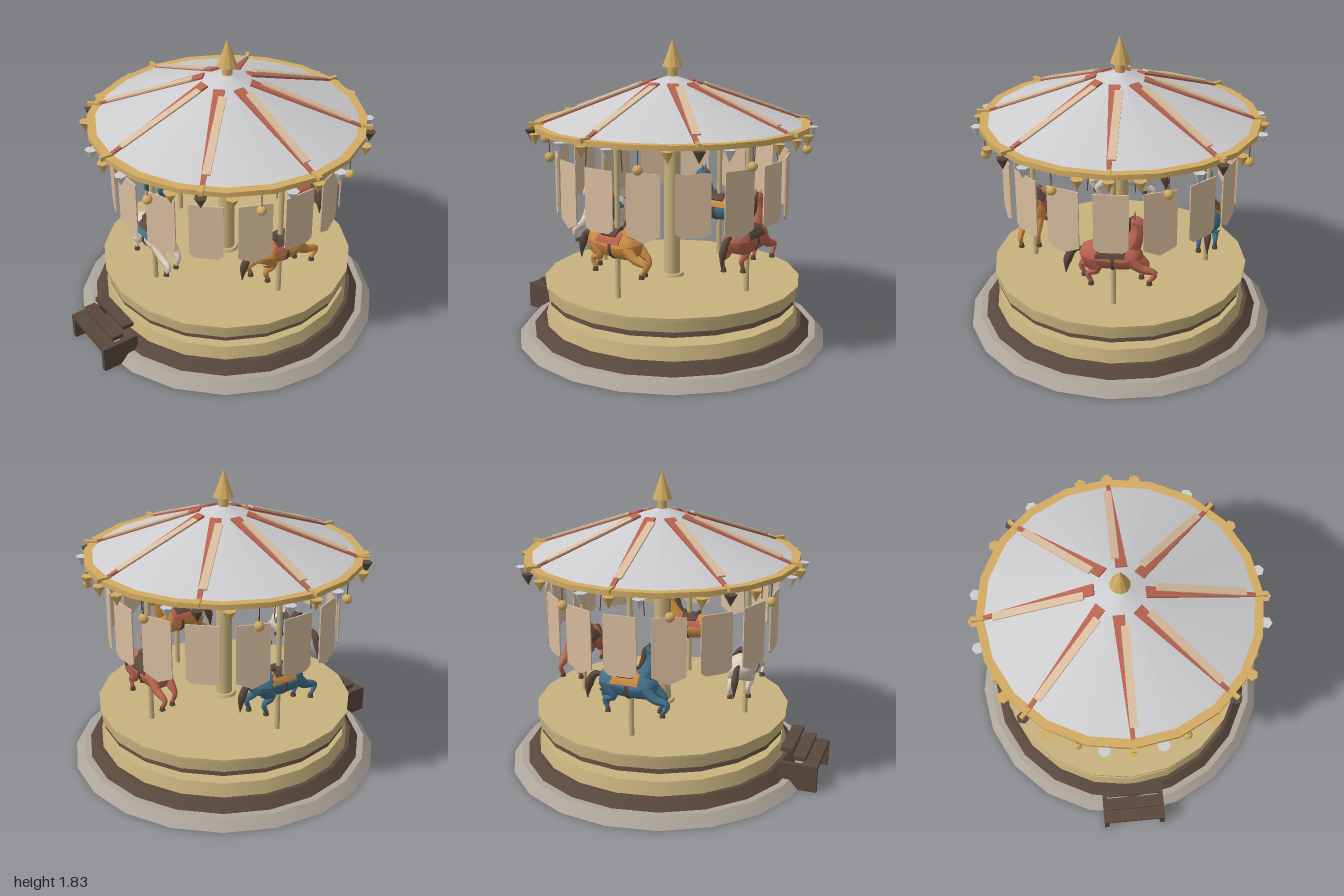
import * as THREE from 'three';

const mat = (name, color) => {
  const m = new THREE.MeshStandardMaterial({ color });
  m.name = name;
  return m;
};
const M = {
  stone: mat('stone', 0xada59a),
  wood: mat('dark wood', 0x5a483d),
  cream: mat('cream paint', 0xc8b27e),
  gold: mat('gold', 0xd2ab62),
  roof: mat('pale grey', 0xcdcdcf),
  cloth: mat('peach cloth', 0xd8bc9e),
  white: mat('ivory', 0xdccebe),
  orange: mat('orange', 0xcb8b42),
  blue: mat('blue', 0x42708a),
  red: mat('brick red', 0xb86450),
};
const SIDES = 20;
const TAU = Math.PI * 2;

function add(parent, name, geo, material, x = 0, y = 0, z = 0) {
  const m = new THREE.Mesh(geo, material);
  m.name = name;
  m.position.set(x, y, z);
  parent.add(m);
  return m;
}
const box = (p, name, m, w, h, d, x, y, z) => add(p, name, new THREE.BoxGeometry(w, h, d), m, x, y, z);
// Drum between two heights, with bottom and top radius
const drum = (p, name, m, y0, y1, r0, r1 = r0, sides = SIDES, x = 0, z = 0) =>
  add(p, name, new THREE.CylinderGeometry(r1, r0, y1 - y0, sides), m, x, (y0 + y1) / 2, z);
const flat = (geo) => {
  const g = geo.toNonIndexed();
  g.computeVertexNormals();
  return g;
};
// Group whose +z points outward at the given angle
function spoke(parent, name, angle) {
  const g = new THREE.Group();
  g.name = name;
  g.rotation.y = angle;
  parent.add(g);
  return g;
}
function plate(points, depth) {
  const shape = new THREE.Shape(points.map(([x, y]) => new THREE.Vector2(x, y)));
  return new THREE.ExtrudeGeometry(shape, { depth, bevelEnabled: false });
}
// Tapered tube: each point is [x, y, z, radius]; widthScale squeezes it across z
function taper(points, widthScale = 1, rows = 14, sides = 10) {
  const curve = new THREE.CatmullRomCurve3(points.map((p) => new THREE.Vector3(p[0], p[1], p[2])));
  const geo = new THREE.TubeGeometry(curve, rows, 1, sides);
  const pos = geo.attributes.position, v = new THREE.Vector3();
  for (let i = 0; i <= rows; i++) {
    const c = curve.getPointAt(i / rows);
    const t = curve.getUtoTmapping(i / rows) * (points.length - 1);
    const k = Math.min(Math.floor(t), points.length - 2);
    const r = THREE.MathUtils.lerp(points[k][3], points[k + 1][3], t - k);
    for (let j = 0; j <= sides; j++) {
      const n = i * (sides + 1) + j;
      v.fromBufferAttribute(pos, n).sub(c).multiplyScalar(r);
      pos.setXYZ(n, c.x + v.x, c.y + v.y, c.z + v.z * widthScale);
    }
  }
  geo.computeVertexNormals();
  return geo;
}

// Galloping horse facing +x
function horse(parent, coat, blanket) {
  const h = new THREE.Group();
  h.name = 'horse';
  h.position.z = 0.54;
  parent.add(h);
  add(h, 'body', taper([[-0.195, 0.71, 0, 0.003], [-0.18, 0.71, 0, 0.05], [-0.11, 0.705, 0, 0.084], [0, 0.69, 0, 0.076],
    [0.08, 0.695, 0, 0.082], [0.14, 0.71, 0, 0.062], [0.17, 0.715, 0, 0.003]], 1, 20, 14), coat);
  add(h, 'neck', taper([[0.07, 0.71, 0, 0.07], [0.115, 0.79, 0, 0.054], [0.135, 0.86, 0, 0.038], [0.125, 0.925, 0, 0.028]], 0.75), coat);
  add(h, 'head', taper([[0.1, 0.935, 0, 0.003], [0.115, 0.925, 0, 0.032], [0.145, 0.9, 0, 0.037], [0.172, 0.865, 0, 0.025],
    [0.19, 0.842, 0, 0.021], [0.196, 0.836, 0, 0.003]], 0.75), coat);
  add(h, 'mane', taper([[0.118, 0.95, 0, 0.006], [0.09, 0.91, 0, 0.018], [0.08, 0.85, 0, 0.02], [0.045, 0.79, 0, 0.008]], 0.6), M.wood);
  add(h, 'tail', taper([[-0.175, 0.735, 0, 0.01], [-0.225, 0.725, 0, 0.022], [-0.262, 0.66, 0, 0.027], [-0.275, 0.57, 0, 0.003]], 0.8), M.wood);
  // Blanket, saddle and girth wrap the back
  const wrap = (name, m, len, r, arc, x, y) => {
    const g = new THREE.CylinderGeometry(r, r, len, 14, 1, arc < TAU, Math.PI / 2 - arc / 2, arc);
    const mesh = add(h, name, g.rotateZ(Math.PI / 2).rotateX(0), m, x, y, 0);
    return mesh;
  };
  const arcPlate = (name, m, len, r, t, a, x, y) => {
    const s = new THREE.Shape();
    s.absarc(0, 0, r + t, Math.PI / 2 - a, Math.PI / 2 + a, false);
    s.absarc(0, 0, r, Math.PI / 2 + a, Math.PI / 2 - a, true);
    const g = new THREE.ExtrudeGeometry(s, { depth: len, bevelEnabled: false, curveSegments: 12 });
    add(h, name, g.translate(0, 0, -len / 2).rotateY(Math.PI / 2), m, x, y, 0);
  };
  arcPlate('blanket', blanket, 0.17, 0.074, 0.012, 1.35, -0.015, 0.695);
  arcPlate('saddle', M.wood, 0.1, 0.084, 0.012, 0.85, -0.015, 0.695);
  wrap('girth', M.wood, 0.018, 0.083, TAU, 0, 0.691);
  add(h, 'pommel', taper([[0.02, 0.78, 0, 0.014], [0.04, 0.8, 0, 0.01], [0.045, 0.81, 0, 0.002]], 2, 6, 8), M.wood);
  add(h, 'cantle', taper([[-0.05, 0.78, 0, 0.016], [-0.07, 0.8, 0, 0.012], [-0.08, 0.808, 0, 0.002]], 3, 6, 8), M.wood);
  for (const s of [-1, 1]) {
    const ear = add(h, 'ear', new THREE.ConeGeometry(0.011, 0.045, 6), coat, 0.122, 0.95, s * 0.016);
    ear.rotation.x = s * 0.15;
    // Near and far legs differ a little in stride
    const d = s * 0.025;
    const fore = [0.185 + d, 0.545 + s * 0.01];
    const hind = [-0.15 + d, 0.545];
    add(h, 'foreleg', taper([[0.1, 0.69, s * 0.045, 0.042], [0.16, 0.64, s * 0.05, 0.028], [0.215 + d, 0.61, s * 0.05, 0.018],
      [fore[0], fore[1], s * 0.05, 0.012]], 0.8), coat);
    add(h, 'hindLeg', taper([[-0.13, 0.69, s * 0.045, 0.055], [-0.115 + d, 0.63, s * 0.05, 0.03], [-0.165 + d, 0.6, s * 0.05, 0.018],
      [hind[0], hind[1], s * 0.05, 0.012]], 0.8), coat);
    for (const [x, y] of [fore, hind]) drum(h, 'hoof', M.wood, y - 0.02, y + 0.006, 0.018, 0.013, 8, x, s * 0.05);
  }
  drum(h, 'pole', M.cream, 0.36, 1.32, 0.016, 0.016, 10);
}

export function createModel() {
  const root = new THREE.Group();
  root.name = 'carousel';
  const ride = new THREE.Group();
  ride.name = 'ride';
  ride.position.z = -0.04;
  root.add(ride);

  // Stepped base and turning platform
  drum(ride, 'plinth', M.stone, 0, 0.06, 0.96, 0.905);
  drum(ride, 'lowerSkirt', M.wood, 0.06, 0.12, 0.865, 0.815);
  drum(ride, 'lowerTier', M.cream, 0.12, 0.2, 0.79, 0.77);
  drum(ride, 'turntableHub', M.cream, 0.2, 0.255, 0.2);
  drum(ride, 'platformSkirt', M.wood, 0.252, 0.288, 0.77, 0.755);
  drum(ride, 'platform', M.cream, 0.286, 0.355, 0.78, 0.785);
  drum(ride, 'platformLip', M.cream, 0.355, 0.37, 0.793);
  drum(ride, 'columnFoot', M.cream, 0.37, 0.388, 0.077, 0.07);
  drum(ride, 'column', M.cream, 0.37, 1.32, 0.052, 0.048, 14);

  // Canopy
  drum(ride, 'canopyRim', M.gold, 1.308, 1.338, 0.835);
  add(ride, 'canopy', new THREE.ConeGeometry(0.79, 0.285, SIDES), M.roof, 0, 1.4785, 0);
  drum(ride, 'finialNeck', M.gold, 1.61, 1.67, 0.03, 0.03, 10);
  add(ride, 'finial', flat(new THREE.ConeGeometry(0.06, 0.165, 10)), M.gold, 0, 1.748, 0);

  // Roof ribs: red wedge below a peach strip, gold bracket at the rim
  const wedge = plate([[-0.055, 0.15], [0.012, 0.15], [0.01, 0.84], [-0.014, 0.84]], 0.012).rotateX(Math.PI / 2);
  for (let i = 0; i < 8; i++) {
    const g = spoke(ride, 'roofRib', i * TAU / 8);
    const slope = new THREE.Group();
    slope.name = 'rib';
    slope.position.y = 1.62;
    slope.rotation.x = Math.atan(0.285 / 0.79);
    g.add(slope);
    add(slope, 'ribWedge', wedge, M.red, 0, 0.014, 0);
    box(slope, 'ribStrip', M.cloth, 0.046, 0.01, 0.56, 0.008, 0.02, 0.49);
    box(g, 'rimBracket', M.gold, 0.024, 0.025, 0.09, 0, 1.338, 0.815);
    // Bulb hanging between ribs
    const b = spoke(ride, 'bulb', (i + 0.5) * TAU / 8);
    drum(b, 'bulbCord', M.wood, 1.21, 1.31, 0.003, 0.003, 5, 0, 0.815);
    add(b, 'bulbGlobe', new THREE.SphereGeometry(0.028, 12, 8), M.gold, 0, 1.2, 0.815);
  }

  // Bunting around the rim
  const pennant = flat(new THREE.ConeGeometry(0.037, 0.068, 6).rotateX(Math.PI));
  const hang = (angle, m) => add(spoke(ride, 'bunting', angle), 'pennant', pennant, m, 0, 1.275, 0.845);
  const order = [M.roof, M.gold, M.gold, M.roof, M.roof, M.gold, M.roof, M.gold];
  for (let i = 0; i < 8; i++) {
    hang(i * TAU / 8, i % 2 ? M.wood : M.gold);
    for (const s of [-1, 1]) hang(s * (i + 0.5) * TAU / 16, order[i]);
  }

  // Hanging cloth panels, alternating cut-corner and pointed ends
  const blunt = plate([[-0.098, 1.158], [-0.098, 0.825], [-0.065, 0.8], [0.065, 0.8], [0.098, 0.825], [0.098, 1.158]], 0.008);
  const pointed = plate([[-0.098, 1.158], [-0.098, 0.81], [0, 0.765], [0.098, 0.81], [0.098, 1.158]], 0.008);
  for (let i = 0; i < 16; i++) {
    const g = spoke(ride, 'hangingPanel', i * TAU / 16);
    add(g, 'panel', i % 2 ? pointed : blunt, M.cloth, 0, 0, 0.697);
    if (i % 4 === 0) {
      for (const s of [-1, 1]) {
        const cord = drum(g, 'panelCord', M.wood, 1.155, 1.31, 0.003, 0.003, 5, s * 0.125, 0.655);
        cord.rotation.z = s * 0.08;
      }
    }
  }

  // Horses, each facing counter-clockwise
  [[M.white, M.blue], [M.orange, M.red], [M.red, M.wood], [M.blue, M.orange]].forEach(([coat, blanket], i) =>
    horse(spoke(ride, 'mount', i * TAU / 4), coat, blanket));

  // Entrance steps
  const steps = new THREE.Group();
  steps.name = 'entranceSteps';
  root.add(steps);
  for (const s of [-1, 1]) box(steps, 'sidePanel', M.wood, 0.03, 0.165, 0.235, s * 0.185, 0.0825, 0.8825);
  box(steps, 'lowerTread', M.wood, 0.36, 0.027, 0.09, 0, 0.15, 0.953);
  box(steps, 'middleTread', M.wood, 0.35, 0.027, 0.075, 0, 0.193, 0.885);
  box(steps, 'upperTread', M.wood, 0.335, 0.027, 0.075, 0, 0.237, 0.807);
  return root;
}
